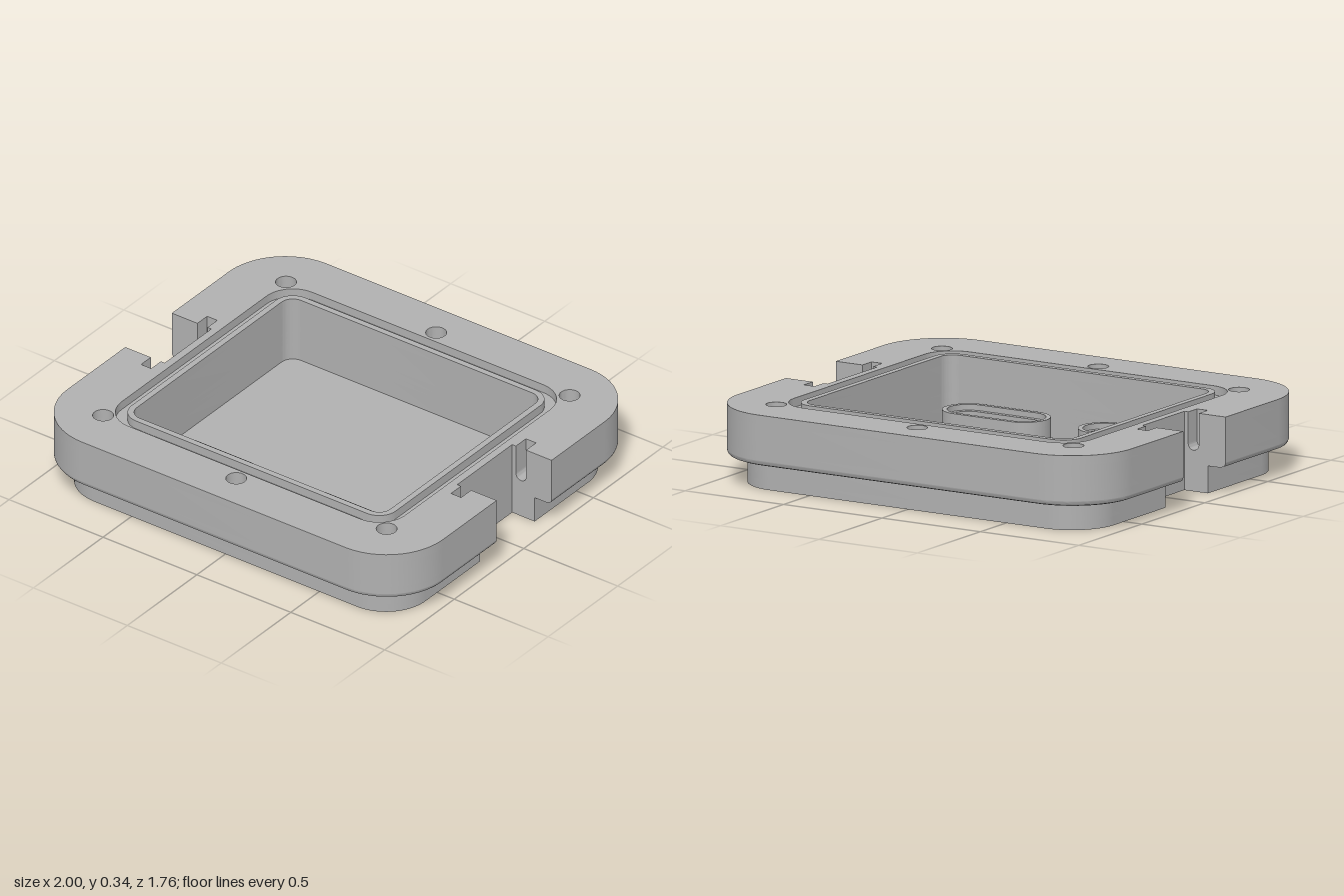
import * as THREE from 'three';
import { toCreasedNormals } from 'three/addons/utils/BufferGeometryUtils.js';

const grey = new THREE.MeshStandardMaterial({ color: 0xb0b0b0 });
grey.name = 'plain grey';

// Side notches: z range, plus how far the latch slots reach past them
const NOTCH = {
  left: { back: -0.2, front: 0.195, reach: 0.072 },
  right: { back: -0.17, front: 0.165, reach: 0.07 },
};
const WALL = 0.79, SLOT_IN = 0.81, SLOT_OUT = 0.864;

// Rounded rectangle or stadium in plan (shape y = model z)
function rounded(hx, hz, r, cx = 0, cz = 0, P = THREE.Path) {
  const p = new P();
  p.absarc(cx + hx - r, cz + hz - r, r, 0, Math.PI / 2);
  p.absarc(cx - hx + r, cz + hz - r, r, Math.PI / 2, Math.PI);
  p.absarc(cx - hx + r, cz - hz + r, r, Math.PI, Math.PI * 1.5);
  p.absarc(cx + hx - r, cz - hz + r, r, Math.PI * 1.5, Math.PI * 2);
  p.closePath();
  return p;
}

function circle(x, z, r) {
  return new THREE.Path().absarc(x, z, r, 0, Math.PI * 2);
}

// Outer outline with a notch in each side, optionally with latch slots
function outline(hx, hz, r, slots) {
  const s = new THREE.Shape();
  const side = (sign, n) => {
    const zs = sign > 0 ? [n.back, n.front] : [n.front, n.back];
    const cut = (z, out, inward) => {
      const far = z + Math.sign(z) * n.reach;
      const pts = [[SLOT_OUT, z], [SLOT_OUT, far], [SLOT_IN, far], [SLOT_IN, z]];
      if (!inward) pts.reverse();
      if (slots) pts.forEach(([x, y]) => s.lineTo(sign * x, y));
    };
    s.lineTo(sign * hx, zs[0]);
    cut(zs[0], hx, true);
    s.lineTo(sign * WALL, zs[0]);
    s.lineTo(sign * WALL, zs[1]);
    cut(zs[1], hx, false);
    s.lineTo(sign * hx, zs[1]);
  };
  s.moveTo(hx, -hz + r);
  side(1, NOTCH.left);
  s.absarc(hx - r, hz - r, r, 0, Math.PI / 2);
  s.absarc(-hx + r, hz - r, r, Math.PI / 2, Math.PI);
  side(-1, NOTCH.right);
  s.absarc(-hx + r, -hz + r, r, Math.PI, Math.PI * 1.5);
  s.absarc(hx - r, -hz + r, r, Math.PI * 1.5, Math.PI * 2);
  return s;
}

// Horizontal slab between two heights
function slab(shape, holes, y0, y1, steps = 1) {
  shape.holes.push(...holes);
  const g = new THREE.ExtrudeGeometry(shape, { depth: y1 - y0, steps, bevelEnabled: false, curveSegments: 14 });
  return g.rotateX(Math.PI / 2).translate(0, y1, 0);
}

export function createModel() {
  const model = new THREE.Group();
  model.name = 'enclosureBase';
  const add = (name, g) => {
    const m = new THREE.Mesh(toCreasedNormals(g, 0.6), grey);
    m.name = name;
    model.add(m);
    return m;
  };

  const TOP = 0.345, STEP = 0.12, FLOOR = 0.04, SLOT_Y = 0.18, GROOVE_Y = 0.305;
  const cavity = () => rounded(0.675, 0.58, 0.06);
  const opening = (cx, grow, P) => rounded(0.212 + grow, 0.07 + grow, 0.0699 + grow, cx, 0.447, P);
  const body = () => outline(0.91, 0.795, 0.21, false);
  const flange = (slots) => outline(1, 0.88, 0.3, slots);
  const screws = () => [
    ...[-1, 1].flatMap((s) => [circle(s * 0.755, -0.66, 0.045), circle(s * 0.755, 0.655, 0.045)]),
    circle(0, -0.72, 0.045), circle(0, 0.717, 0.045),
  ];

  // Floor with two cable openings and two small underside pockets
  const pockets = [-1, 1].map((s) => rounded(0.025, 0.085, 0.01, s * 0.752, 0.01));
  add('floor', slab(body(), [opening(-0.345, 0), opening(0.345, 0), ...pockets], 0, FLOOR));
  add('lowerWall', slab(body(), [cavity()], FLOOR, STEP));

  // Flange underside with a small rounded outer edge
  const R = 0.025;
  const edge = slab(flange(false), [cavity()], STEP, STEP + R, 4);
  const pos = edge.attributes.position;
  for (let i = 0; i < pos.count; i++) {
    const x = pos.getX(i), z = pos.getZ(i);
    const cx = THREE.MathUtils.clamp(x, -0.7, 0.7), cz = THREE.MathUtils.clamp(z, -0.58, 0.58);
    const d = Math.hypot(x - cx, z - cz);
    if (d < 0.29) continue;
    const t = 1 - (pos.getY(i) - STEP) / R;
    const k = (d - R * (1 - Math.sqrt(Math.max(0, 1 - t * t)))) / d;
    pos.setX(i, cx + (x - cx) * k);
    pos.setZ(i, cz + (z - cz) * k);
  }
  add('flangeEdge', edge);

  // Flange with latch slots, screw holes and seal groove
  add('flangeLower', slab(flange(false), [cavity()], STEP + R, SLOT_Y));
  add('flangeMiddle', slab(flange(true), [cavity(), ...screws()], SLOT_Y, GROOVE_Y));
  add('flangeTop', slab(flange(true), [rounded(0.755, 0.66, 0.14), ...screws()], GROOVE_Y, TOP));
  add('sealLip', slab(rounded(0.703, 0.608, 0.088, 0, 0, THREE.Shape), [cavity()], GROOVE_Y, TOP));

  // Rounded bottoms of the latch slots
  const w = (SLOT_OUT - SLOT_IN) / 2;
  for (const [sign, n] of [[1, NOTCH.left], [-1, NOTCH.right]]) {
    for (const z of [n.back, n.front]) {
      const s = new THREE.Shape();
      s.moveTo(-w, w);
      s.lineTo(-w, 0);
      s.lineTo(w, 0);
      s.lineTo(w, w);
      s.absarc(0, w, w, 0, -Math.PI, true);
      const g = new THREE.ExtrudeGeometry(s, { depth: n.reach, bevelEnabled: false, curveSegments: 10 });
      g.translate(sign * (SLOT_IN + w), SLOT_Y, z < 0 ? z - n.reach : z);
      add('latchSlotBottom', g);
    }
  }

  // Raised collars around the cable openings, each with a shallow ledge
  for (const cx of [-0.345, 0.345]) {
    add('openingCollar', slab(opening(cx, 0.043, THREE.Shape), [opening(cx, 0)], FLOOR, 0.125));
    add('openingRim', slab(opening(cx, 0.043, THREE.Shape), [opening(cx, 0.022)], 0.125, 0.15));
  }
  return model;
}
